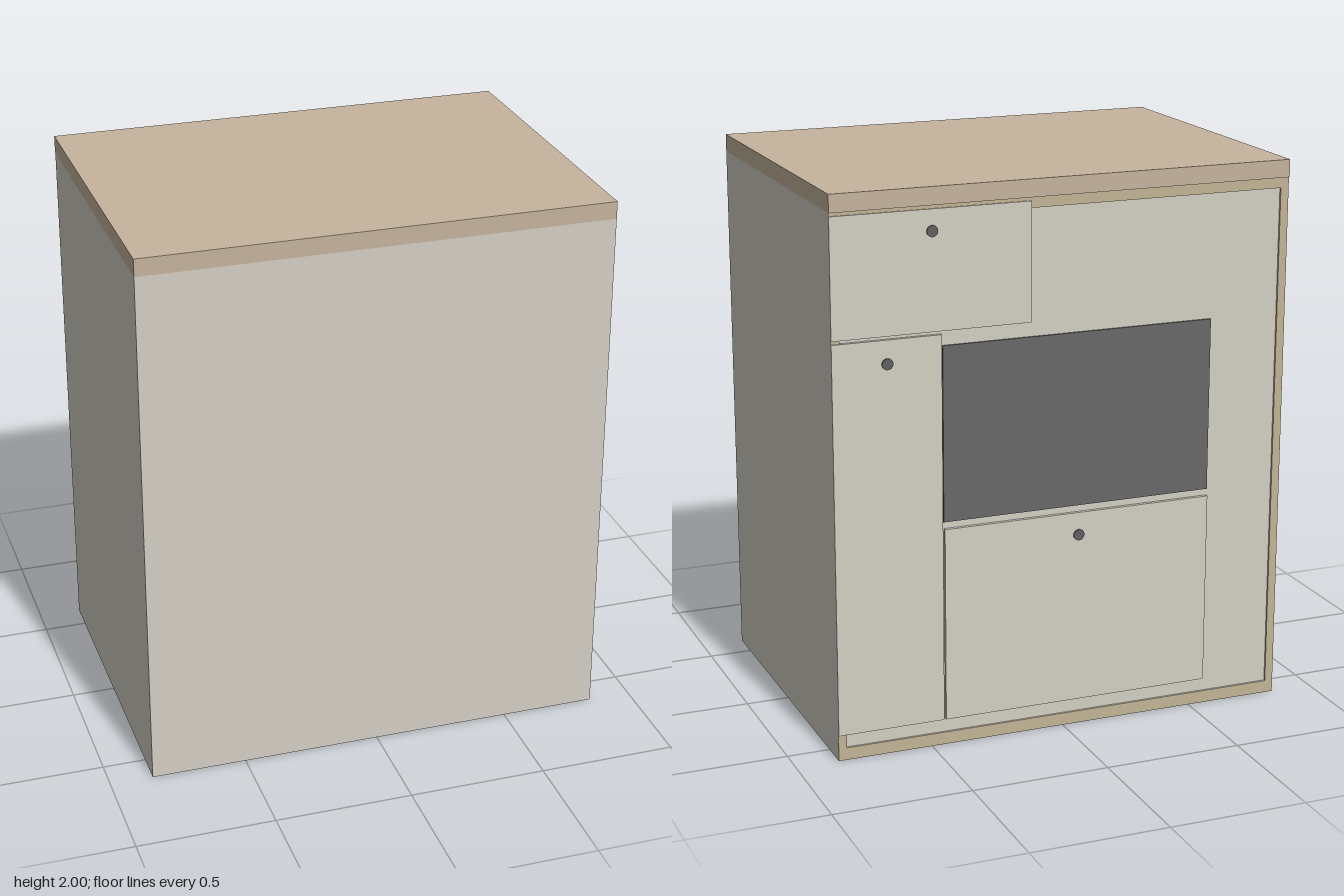
import * as THREE from 'three';

const mat = (color) => new THREE.MeshStandardMaterial({ color });

export function createModel() {
  const group = new THREE.Group();
  const shell = mat(0xd3cfc4), wood = mat(0xc5b49e), edge = mat(0xc2b595);
  const dark = mat(0x686868), metal = mat(0x606060);

  // Box given by its limits on each axis
  const box = (name, material, x0, x1, y0, y1, z0, z1) => {
    const mesh = new THREE.Mesh(new THREE.BoxGeometry(x1 - x0, y1 - y0, z1 - z0), material);
    mesh.name = name;
    mesh.position.set((x0 + x1) / 2, (y0 + y1) / 2, (z0 + z1) / 2);
    group.add(mesh);
  };

  const W = 0.845, FRONT = 0.615, CORE = -0.597, RIM = -0.605, DOOR = -0.61;

  // Cabinet body and worktop
  box('cabinetBody', shell, -W, W, 0, 1.937, CORE, FRONT);
  box('worktop', wood, -W, W, 1.937, 2, DOOR, FRONT);

  // Raised rim around the fitted side, with a pale edging strip
  const rim = (name, material, z0, z1) => {
    const shape = new THREE.Shape();
    shape.moveTo(-W, 0).lineTo(W, 0).lineTo(W, 1.937).lineTo(-W, 1.937).closePath();
    const hole = new THREE.Path();
    const w = W - 0.03;
    hole.moveTo(-w, 0.045).lineTo(-w, 1.9).lineTo(w, 1.9).lineTo(w, 0.045).closePath();
    shape.holes.push(hole);
    const mesh = new THREE.Mesh(
      new THREE.ExtrudeGeometry(shape, { depth: z1 - z0, bevelEnabled: false }), material);
    mesh.name = name;
    mesh.position.z = z0;
    group.add(mesh);
  };
  rim('carcassRim', shell, RIM + 0.002, CORE);
  rim('rimEdging', edge, RIM, RIM + 0.002);

  // Drawer and door fronts, laid over the rim
  box('drawerFront', shell, 0.13, W, 1.505, 1.925, DOOR, CORE);
  box('tallDoor', shell, 0.455, W, 0.095, 1.493, DOOR, CORE);
  box('lowerDoor', shell, -0.555, 0.448, 0.095, 0.8, DOOR, CORE);

  // Dark appliance panel
  box('appliancePanel', dark, -0.555, 0.45, 0.825, 1.452, -0.604, CORE);

  // Round knobs
  for (const [x, y] of [[0.487, 1.85], [0.65, 1.41], [-0.053, 0.718]]) {
    const knob = new THREE.Mesh(new THREE.CylinderGeometry(0.02, 0.02, 0.007, 24), metal);
    knob.name = 'knob';
    knob.rotation.x = Math.PI / 2;
    knob.position.set(x, y, -0.6115);
    group.add(knob);
  }

  return group;
}
